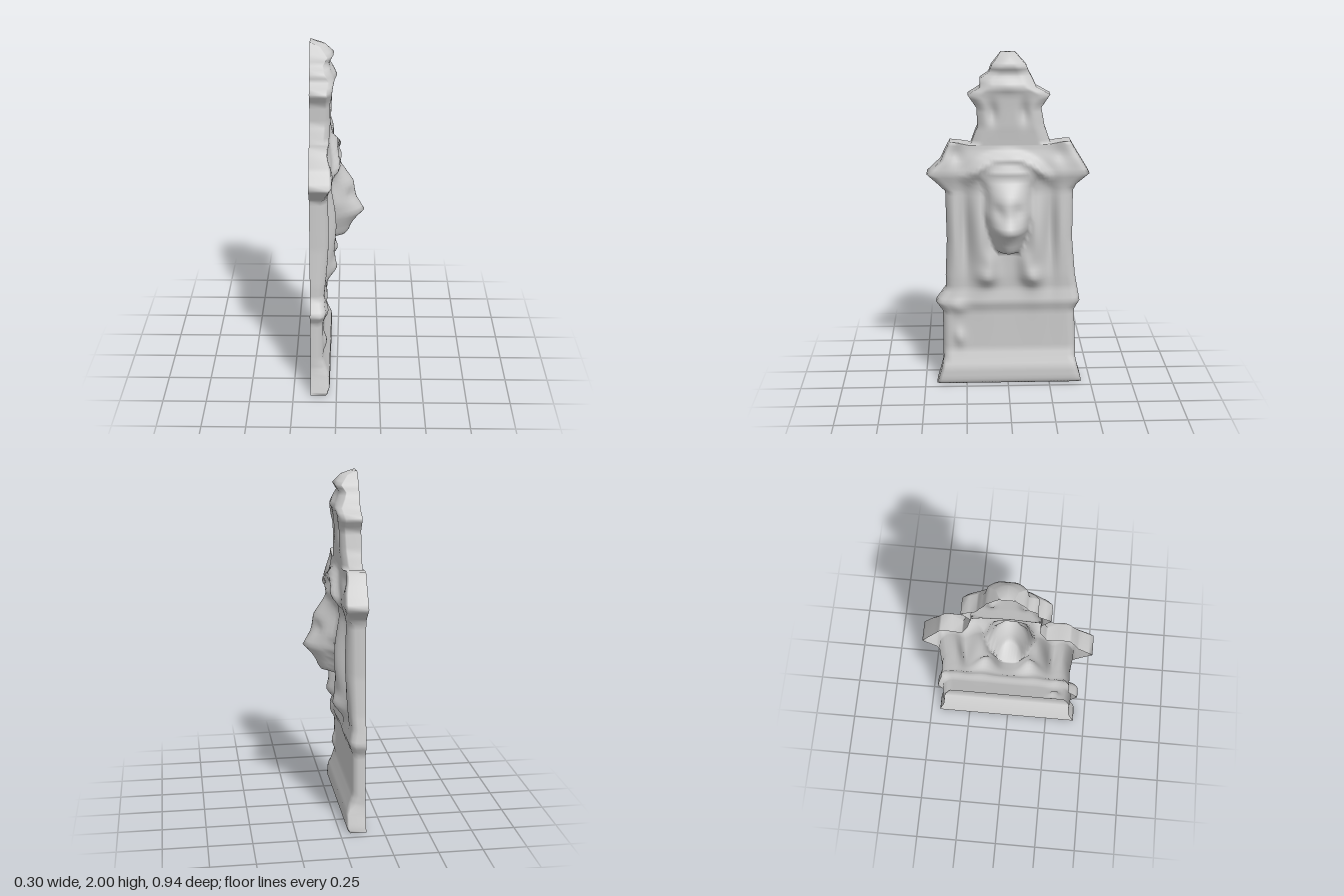
import * as THREE from 'three';

const BACK = -0.15, COLS = 44;
const { smoothstep, clamp } = THREE.MathUtils;

// Outline and depth profile: [height, +z edge, -z edge, surface depth]
const profile = [
  [0, 0.43, -0.445, -0.05], [0.03, 0.42, -0.44, -0.04], [0.1, 0.40, -0.42, -0.042], [0.15, 0.39, -0.41, -0.06],
  [0.21, 0.39, -0.41, -0.08], [0.45, 0.39, -0.40, -0.08], [0.515, 0.43, -0.43, -0.06],
  [0.6, 0.37, -0.415, -0.075], [0.68, 0.37, -0.40, -0.07], [0.9, 0.36, -0.38, -0.065],
  [1.2, 0.365, -0.38, -0.06], [1.24, 0.40, -0.395, -0.05], [1.31, 0.47, -0.47, -0.025],
  [1.385, 0.39, -0.425, -0.03], [1.45, 0.36, -0.385, -0.042], [1.495, 0.335, -0.36, -0.045],
  [1.5, 0.215, -0.245, -0.045], [1.58, 0.175, -0.21, -0.035], [1.69, 0.18, -0.19, -0.03],
  [1.765, 0.23, -0.24, -0.025], [1.81, 0.16, -0.16, -0.015], [1.855, 0.16, -0.14, -0.035],
  [1.89, 0.11, -0.12, -0.045], [1.93, 0.095, -0.105, -0.02], [1.98, 0.055, -0.06, -0.06], [2, 0.04, -0.04, -0.11],
];

// Face at the centre of the panel: [height, half width, depth]
const face = [
  [0.83, 0.05, 0], [0.855, 0.08, 0.06], [0.91, 0.10, 0.08], [0.96, 0.12, 0.115], [1.0, 0.13, 0.155],
  [1.08, 0.15, 0.11], [1.18, 0.14, 0.092], [1.25, 0.15, 0.04], [1.28, 0.18, 0.015],
  [1.34, 0.19, 0.025], [1.38, 0.12, -0.03],
];

function sample(table, y) {
  const i = table.findIndex((p) => p[0] >= y);
  const a = table[i - 1], b = table[i], t = (y - a[0]) / (b[0] - a[0]);
  return a.map((v, k) => v + (b[k] - v) * t);
}

const bump = (z, y, cz, cy, wz, wy) => Math.exp(-(((z - cz) / wz) ** 2) - (((y - cy) / wy) ** 2));

// Depth of the carved surface
function relief(z, y, base) {
  const m = Math.abs(z);
  let x = base;
  // recess of the niche and the posts beside it
  x -= 0.035 * bump(m, y, 0.25, 0.97, 0.03, 0.22);
  x += 0.02 * bump(m, y, 0.31, 0.95, 0.035, 0.3);
  // hanging drapery and its gathered ends
  x += 0.06 * bump(m, y, 0.16, 0.95, 0.06, 0.28);
  x += 0.045 * bump(z, y, 0.12, 0.68, 0.055, 0.055) + 0.045 * bump(z, y, -0.14, 0.68, 0.06, 0.055);
  x += 0.035 * bump(m, y, 0.10, 0.77, 0.04, 0.08);
  // arched moulding
  const arch = 1.40 - 1.9 * Math.min(m, 0.25) ** 2;
  x += 0.04 * Math.exp(-(((y - arch) / 0.035) ** 2)) * (1 - smoothstep(m, 0.16, 0.3));
  // shoulder hollows, finial hollows and ledge bosses
  x -= 0.02 * bump(m, y, 0.3, 1.42, 0.04, 0.05);
  x -= 0.025 * bump(m, y, 0.09, 1.67, 0.03, 0.06);
  x += 0.015 * bump(m, y, 0, 1.82, 0.07, 0.03);
  x += 0.02 * bump(z, y, 0.3, 0.48, 0.05, 0.04) + 0.025 * bump(z, y, 0.29, 0.29, 0.03, 0.05);
  // face, with eye hollows
  if (y > 0.83 && y < 1.38) {
    const [, w, d] = sample(face, y);
    if (m < w) {
      const f = base + (d - base) * (1 - (m / w) ** 2) ** 0.75;
      x = Math.max(x, f - 0.02 * bump(m, y, 0.055, 1.11, 0.03, 0.035));
    }
  }
  return x;
}

export function createModel() {
  // Cross-section rows, from the foot to the tip; the end rows close the shell
  const rows = [profile[0]];
  for (let i = 0; i < profile.length - 1; i++) {
    const a = profile[i], b = profile[i + 1];
    const n = Math.max(2, Math.ceil((b[0] - a[0]) / 0.025));
    for (let k = 0; k < n; k++) rows.push(a.map((v, j) => v + (b[j] - v) * k / n));
  }
  const tip = profile[profile.length - 1];
  rows.push(tip, tip);

  const positions = [];
  rows.forEach(([height, left, right, base], r) => {
    const cap = r === 0 || r === rows.length - 1;
    const rollDepth = height < 0.15 ? 0.01 : height < 1.22 ? 0.03 : height < 1.5 ? 0.012 : 0.035;
    const rollWidth = height < 1.5 ? 0.04 : 0.07;
    for (let c = -1; c <= COLS + 1; c++) {
      const t = clamp(c / COLS, 0, 1);
      const z = left + (right - left) * t;
      const edge = Math.min(t, 1 - t) * (left - right);
      // notches between the shoulders and the finial
      const notch = Math.exp(-(((height - 1.4975) / 0.04) ** 2)) * (1 - smoothstep(Math.abs(z), 0.2, 0.33));
      const y = height - 0.022 * notch;
      const roll = rollDepth * Math.max(0, 1 - edge / rollWidth) ** 2;
      const x = cap || c < 0 || c > COLS ? BACK : Math.max(BACK + 0.01, relief(z, y, base) - roll);
      positions.push(x, y, z);
    }
  });

  // One shared surface, so that the shading runs on across the parts
  const width = COLS + 3;
  const indices = (from, to) => {
    const list = [];
    for (let r = from; r < to; r++) {
      for (let c = 0; c < width - 1; c++) {
        const a = r * width + c, d = a + width;
        list.push(a, a + 1, d, a + 1, d + 1, d);
      }
    }
    return list;
  };
  const whole = new THREE.BufferGeometry();
  whole.setAttribute('position', new THREE.Float32BufferAttribute(positions, 3));
  whole.setIndex(indices(0, rows.length - 1));
  whole.computeVertexNormals();

  // Thin shell, open at the back
  const material = new THREE.MeshStandardMaterial({ color: 0xcccccc, side: THREE.DoubleSide });
  const group = new THREE.Group();
  group.name = 'carvedReliefPanel';
  const rowAt = (y) => rows.findIndex((p) => p[0] >= y - 1e-6);
  const cuts = [0, rowAt(0.15), rowAt(0.6), rowAt(1.24), rowAt(1.5), rows.length - 1];
  ['plinth', 'lowerPanel', 'nicheWithFace', 'archedPediment', 'finial'].forEach((name, i) => {
    const part = new THREE.BufferGeometry();
    part.setAttribute('position', whole.getAttribute('position'));
    part.setAttribute('normal', whole.getAttribute('normal'));
    part.setIndex(indices(cuts[i], cuts[i + 1]));
    const mesh = new THREE.Mesh(part, material);
    mesh.name = name;
    group.add(mesh);
  });
  return group;
}
